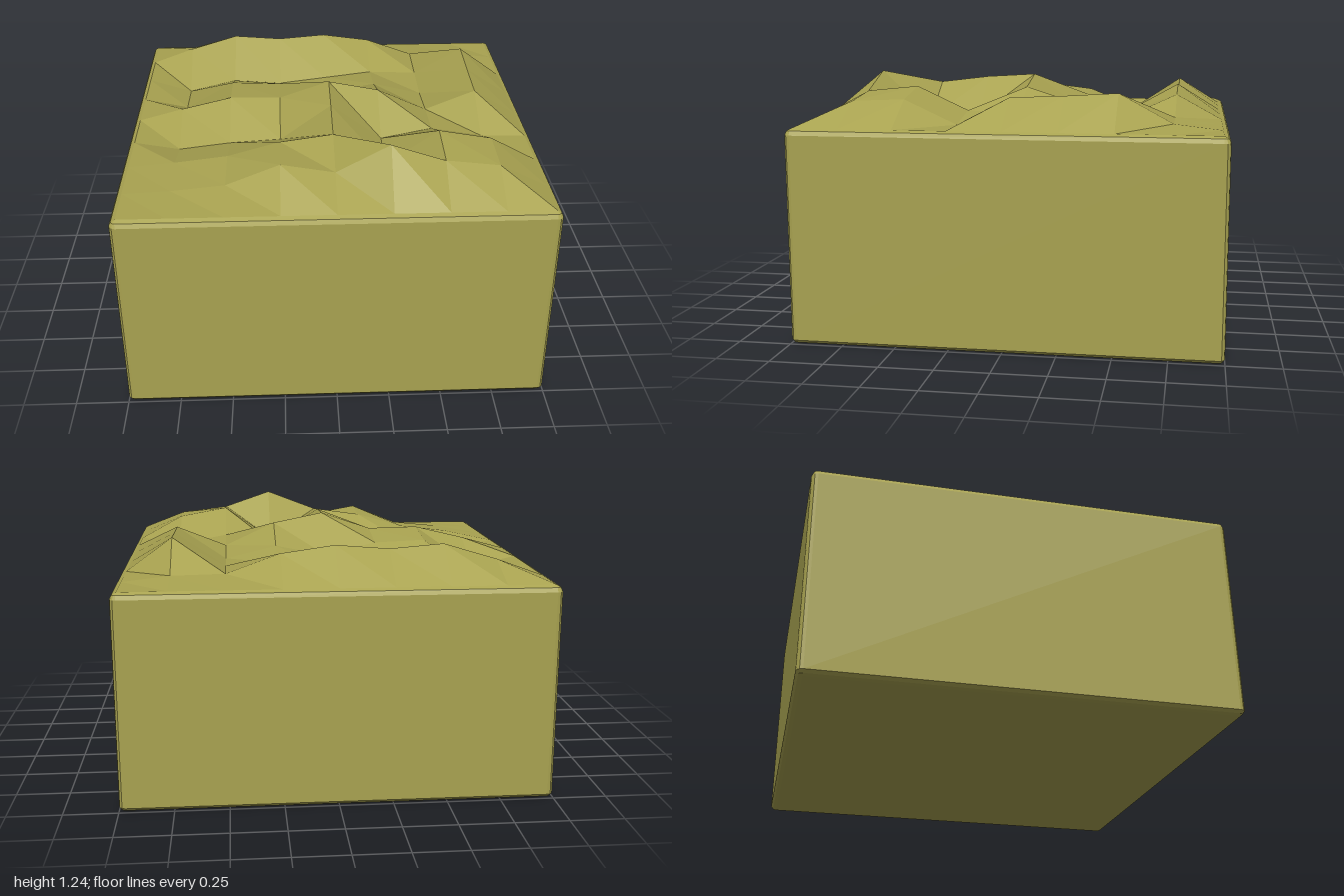
import * as THREE from 'three';

const N = 8;       // terrain cells per side
const IN = 0.97;   // half size of the terrain, inside the bevel
const RIM = 1.01;  // height of the terrain border

// Interior terrain heights above y = 1, back row first, from -x to +x
const HEIGHTS = [
  [0.09, 0.165, 0.145, 0.165, 0.13, 0.04, 0.035],
  [-0.06, 0.0, -0.02, 0.01, 0.04, 0.03, 0.17],
  [-0.04, 0.1, 0.09, 0.03, 0.08, 0.02, 0.155],
  [0.07, 0.13, 0.125, 0.21, 0.16, 0.045, 0.145],
  [-0.03, 0.0, 0.015, 0.195, 0.01, 0.06, 0.015],
  [0.03, 0.06, 0.13, 0.165, 0.0, 0.175, 0.13],
  [0.02, 0.045, 0.145, 0.1, 0.235, 0.15, 0.12],
];

function meshFrom(name, positions, index, material) {
  const geometry = new THREE.BufferGeometry();
  geometry.setAttribute('position', new THREE.Float32BufferAttribute(positions, 3));
  geometry.setIndex(index);
  geometry.computeVertexNormals();
  const mesh = new THREE.Mesh(geometry, material);
  mesh.name = name;
  return mesh;
}

// Faceted ground: a grid of cells, each split along the same diagonal
function makeTerrain(material) {
  const positions = [], index = [];
  const coord = (k) => THREE.MathUtils.clamp(-1 + (2 * k) / N, -IN, IN);
  for (let j = 0; j <= N; j++) {
    for (let i = 0; i <= N; i++) {
      const border = i === 0 || j === 0 || i === N || j === N;
      positions.push(coord(i), border ? RIM : 1 + HEIGHTS[j - 1][i - 1], coord(j));
    }
  }
  for (let j = 0; j < N; j++) {
    for (let i = 0; i < N; i++) {
      const a = j * (N + 1) + i, b = a + 1, c = a + N + 1, d = c + 1;
      index.push(a, c, d, a, d, b);
    }
  }
  return meshFrom('terrain', positions, index, material);
}

// Block with rounded vertical edges and bevelled rims, lofted from square rings
function makeBlock(material) {
  const rings = [[0, 0], [0.006, 0.018], [0.02, 0.03], [0.98, 0.03], [1.0, 0.02], [RIM, 0]]; // [y, outset]
  const steps = 3, count = 4 * (steps + 1);
  const positions = [], index = [];
  for (const [y, r] of rings) {
    for (let c = 0; c < 4; c++) {
      const mid = Math.PI / 4 + (c * Math.PI) / 2;
      const cx = IN * Math.sign(Math.cos(mid)), cz = IN * Math.sign(Math.sin(mid));
      for (let s = 0; s <= steps; s++) {
        const t = (c + s / steps) * Math.PI / 2;
        positions.push(cx + r * Math.cos(t), y, cz + r * Math.sin(t));
      }
    }
  }
  for (let k = 0; k < rings.length - 1; k++) {
    for (let i = 0; i < count; i++) {
      const a = k * count + i, b = k * count + (i + 1) % count;
      index.push(a, a + count, b, b, a + count, b + count);
    }
  }
  // Underside
  for (let i = 1; i < count - 1; i++) index.push(0, i, i + 1);
  return meshFrom('block', positions, index, material);
}

export function createModel() {
  const material = new THREE.MeshStandardMaterial({ color: 0xa8a250, flatShading: true });
  const group = new THREE.Group();
  group.name = 'terrainBlock';
  group.add(makeBlock(material), makeTerrain(material));
  return group;
}
